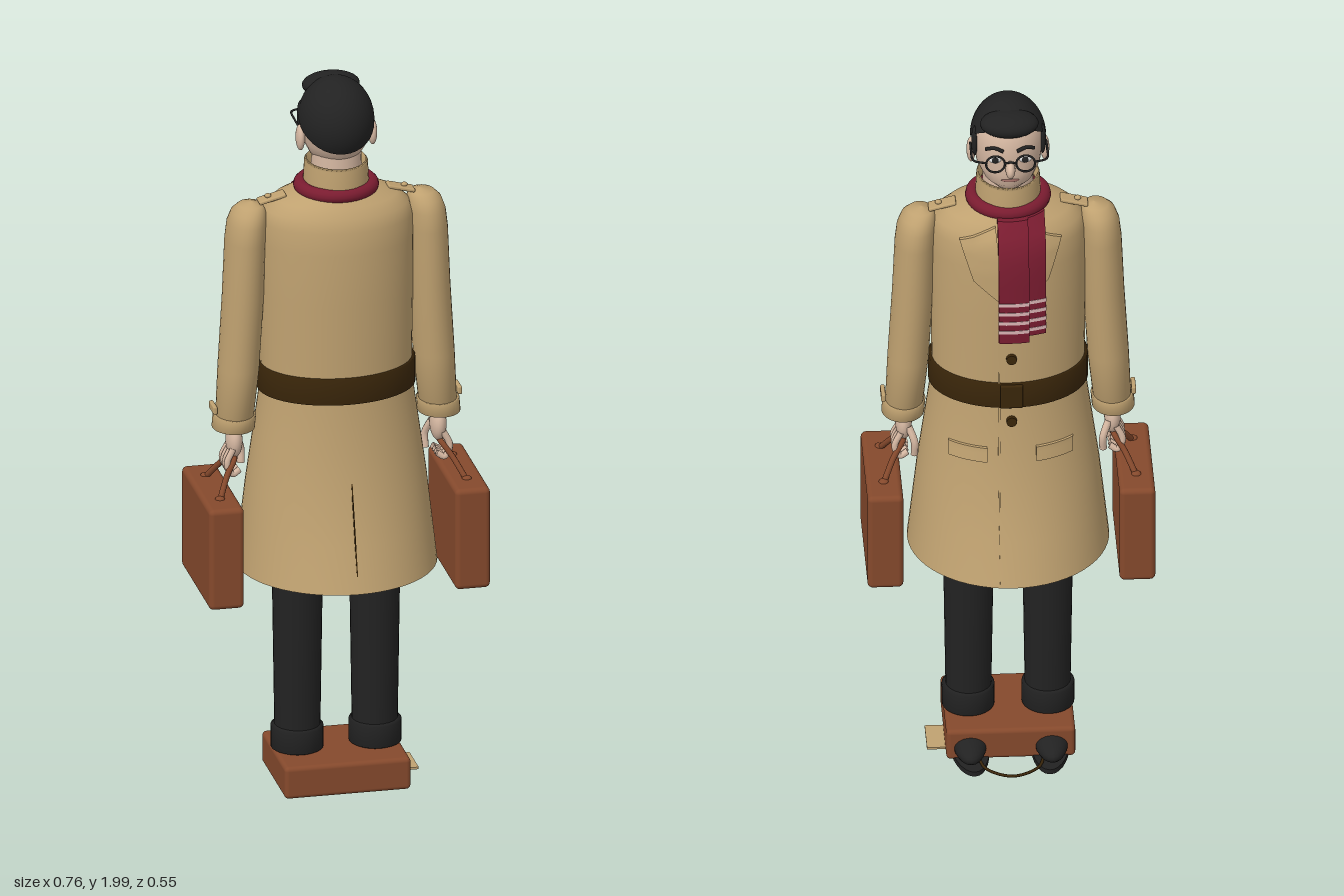
import * as THREE from 'three';
import { RoundedBoxGeometry } from 'three/addons/geometries/RoundedBoxGeometry.js';

const mat = (name, color) => {
  const m = new THREE.MeshStandardMaterial({ color, side: THREE.DoubleSide });
  m.name = name;
  return m;
};

export function createModel() {
  const model = new THREE.Group();
  model.name = 'travellerInCoat';
  const tan = mat('tan cloth', 0xbfa170), brown = mat('brown leather', 0x85492c), black = mat('black', 0x222222);
  const red = mat('dark red wool', 0x7a1c30), belt = mat('dark brown', 0x3a260a), skin = mat('skin', 0xd6b8a2);
  const pale = mat('pale pink', 0xdcb6b6), white = mat('white', 0xeeeeee), lip = mat('lip', 0x9a6a62);

  const add = (name, geo, material, x = 0, y = 0, z = 0, parent = model) => {
    const mesh = new THREE.Mesh(geo, material);
    mesh.name = name;
    mesh.position.set(x, y, z);
    parent.add(mesh);
    return mesh;
  };
  const ball = (name, m, x, y, z, rx, ry, rz) => {
    const b = add(name, new THREE.SphereGeometry(1, 24, 16), m, x, y, z);
    b.scale.set(rx, ry, rz);
    return b;
  };
  const rod = (name, m, pts, r) => add(name, new THREE.TubeGeometry(
    new THREE.CatmullRomCurve3(pts.map(p => new THREE.Vector3(...p))), 24, r, 8), m);

  // Smooth skin through oval rings, rows of [y, centreX, centreZ, radiusX, radiusZ] from bottom to top
  const loft = (rows, n = 40) => {
    const pos = [], idx = [];
    rows.forEach(([y, cx, cz, rx, rz], r) => {
      for (let i = 0; i < n; i++) {
        const a = i / n * Math.PI * 2;
        pos.push(cx + rx * Math.cos(a), y, cz + rz * Math.sin(a));
        if (r === rows.length - 1) continue;
        const p = r * n + i, q = r * n + (i + 1) % n;
        idx.push(p, p + n, q, q, p + n, q + n);
      }
    });
    const g = new THREE.BufferGeometry();
    g.setAttribute('position', new THREE.Float32BufferAttribute(pos, 3));
    g.setIndex(idx);
    g.computeVertexNormals();
    return g;
  };

  // Coat: flared skirt, waist, chest and sloping shoulders
  const coatRows = [
    [0.63, 0, 0, 0.268, 0.273], [0.75, 0, 0, 0.255, 0.233], [0.87, 0, 0, 0.242, 0.2], [1.0, 0, 0, 0.224, 0.176],
    [1.13, 0, 0, 0.206, 0.161], [1.2, 0, 0, 0.203, 0.158], [1.4, 0, 0, 0.206, 0.16], [1.55, 0, 0, 0.207, 0.157],
    [1.61, 0, 0, 0.205, 0.15], [1.645, 0, 0, 0.195, 0.138], [1.67, 0, 0, 0.165, 0.118], [1.69, 0, 0, 0.11, 0.1], [1.7, 0, 0, 0.08, 0.09]];
  add('coat', loft(coatRows, 56), tan);
  add('collar', loft([[1.68, 0, 0, 0.088, 0.1], [1.765, 0, 0, 0.084, 0.098], [1.772, 0, 0, 0.078, 0.092], [1.74, 0, 0, 0.072, 0.085]]), tan);
  add('belt', loft([[1.13, 0, 0, 0.2, 0.155], [1.13, 0, 0, 0.212, 0.167], [1.203, 0, 0, 0.212, 0.167], [1.203, 0, 0, 0.2, 0.155]], 56), belt);

  // Thin panel that follows the coat; corners run lower-x bottom, higher-x bottom, higher-x top, lower-x top
  const depthAt = (x, y) => {
    let i = 0;
    while (i < coatRows.length - 2 && y > coatRows[i + 1][0]) i++;
    const a = coatRows[i], b = coatRows[i + 1], t = (y - a[0]) / (b[0] - a[0]);
    const rx = a[3] + (b[3] - a[3]) * t, rz = a[4] + (b[4] - a[4]) * t;
    return rz * Math.sqrt(Math.max(0, 1 - (x / rx) ** 2));
  };
  const panel = (name, m, c, offset, thick, side = 1) => {
    if (side < 0) c = [c[1], c[0], c[3], c[2]].map(([x, y]) => [-x, y]);
    const g = new THREE.BoxGeometry(1, 1, 1, 8, 10, 1), p = g.attributes.position;
    for (let i = 0; i < p.count; i++) {
      const u = p.getX(i) + 0.5, v = p.getY(i) + 0.5;
      const at = k => (c[0][k] * (1 - u) + c[1][k] * u) * (1 - v) + (c[3][k] * (1 - u) + c[2][k] * u) * v;
      const x = at(0), y = at(1);
      p.setXYZ(i, x, y, -depthAt(x, y) - offset + thick * (p.getZ(i) + 0.5));
    }
    g.computeVertexNormals();
    return add(name, g, m);
  };
  const rect = (x0, x1, y0, y1) => [[x0, y0], [x1, y0], [x1, y1], [x0, y1]];

  for (const s of [-1, 1]) {
    panel('lapel', tan, [[0.02, 1.45], [0.1, 1.52], [0.135, 1.63], [0.04, 1.67]], 0.01, 0.012, s);
    panel('pocketFlap', tan, rect(0.065, 0.165, 0.97, 1.01), 0.009, 0.01, s);
  }
  panel('coatFrontEdge', tan, rect(0.03, 0.036, 0.64, 1.5), 0.003, 0.004);
  for (const y of [1.38, 1.28, 1.09]) {
    add('button', new THREE.CylinderGeometry(0.014, 0.014, 0.012, 16), belt, 0, y, -depthAt(0, y) - 0.005).rotation.x = Math.PI / 2;
  }
  add('beltBuckle', new RoundedBoxGeometry(0.06, 0.07, 0.012, 2, 0.004), belt, 0, 1.167, -0.169);
  add('backVent', new THREE.BoxGeometry(0.003, 0.4, 0.004), belt, 0, 0.83, 0.213).rotation.x = -0.27;

  // Scarf: loop and two striped tails
  const loop = add('scarfLoop', new THREE.TorusGeometry(0.095, 0.019, 12, 40), red, 0, 1.697, 0);
  loop.rotation.x = Math.PI / 2;
  panel('scarfUnderTail', red, rect(-0.092, -0.035, 1.36, 1.69), 0.02, 0.018);
  panel('scarfOverTail', red, rect(-0.046, 0.035, 1.345, 1.69), 0.029, 0.026);
  for (let i = 0; i < 4; i++) {
    const y = 1.375 + i * 0.028;
    panel('scarfStripe', pale, rect(-0.0925, -0.04, y, y + 0.01), 0.0212, 0.009);
    panel('scarfStripe', pale, rect(-0.0465, 0.0355, y, y + 0.01), 0.0302, 0.009);
  }

  for (const s of [-1, 1]) {
    // Sleeve, cuff and shoulder tab
    const side = rows => loft(rows.map(([y, x, ...r]) => [y, s * x, ...r]), 28);
    add('sleeve', side([
      [1.05, 0.277, 0, 0, 0], [1.04, 0.277, 0, 0.05, 0.06], [1.2, 0.265, 0, 0.055, 0.067], [1.4, 0.253, 0, 0.055, 0.071],
      [1.56, 0.247, 0, 0.054, 0.075], [1.61, 0.243, 0, 0.052, 0.071], [1.64, 0.238, 0, 0.046, 0.058],
      [1.658, 0.233, 0, 0.033, 0.038], [1.666, 0.228, 0, 0, 0]]), tan);
    add('cuff', side([[1.03, 0.279, 0, 0.045, 0.055], [1.03, 0.279, 0, 0.057, 0.067], [1.066, 0.276, 0, 0.057, 0.068], [1.066, 0.276, 0, 0.05, 0.06]]), tan);
    add('cuffStrap', new RoundedBoxGeometry(0.012, 0.022, 0.055, 2, 0.004), tan, s * 0.332, 1.085, -0.005);
    add('shoulderTab', new RoundedBoxGeometry(0.075, 0.01, 0.04, 2, 0.004), tan, s * 0.175, 1.672, 0).rotation.z = -s * 0.25;
    ball('tabButton', tan, s * 0.185, 1.678, 0, 0.009, 0.006, 0.009);

    // Hand with fingers curled about the handle
    ball('palm', skin, s * 0.277, 0.99, 0, 0.022, 0.048, 0.036);
    for (let i = 0; i < 4; i++) {
      const z = -0.028 + i * 0.018;
      rod('finger', skin, [[s * 0.285, 0.975, z], [s * 0.302, 0.935, z * 1.15], [s * 0.288, 0.905, z * 1.15], [s * 0.268, 0.915, z]], 0.009);
    }
    rod('thumb', skin, [[s * 0.265, 0.99, -0.025], [s * 0.25, 0.95, -0.04], [s * 0.25, 0.91, -0.035]], 0.01);

    // Carried suitcase
    add('suitcase', new RoundedBoxGeometry(0.095, 0.285, 0.342, 4, 0.014), brown, s * 0.334, 0.718, 0);
    rod('suitcaseHandle', brown, [[s * 0.335, 0.855, -0.088], [s * 0.305, 0.91, -0.045], [s * 0.28, 0.945, -0.02],
      [s * 0.28, 0.945, 0.02], [s * 0.305, 0.91, 0.045], [s * 0.335, 0.855, 0.088]], 0.008);
    for (const z of [-0.088, 0.088]) ball('handleMount', brown, s * 0.335, 0.86, z, 0.013, 0.008, 0.013);

    // Trouser leg, turn-up and shoe
    add('trouserLeg', loft([[0.1, s * 0.105, 0, 0.06, 0.062], [0.63, s * 0.105, 0, 0.068, 0.068], [1.0, s * 0.1, 0, 0.075, 0.075]], 28), black);
    add('turnUp', loft([[0.105, s * 0.106, 0, 0.055, 0.06], [0.105, s * 0.106, 0, 0.07, 0.073], [0.165, s * 0.106, 0, 0.07, 0.073], [0.17, s * 0.106, 0, 0.06, 0.062]], 28), black);
    ball('shoe', black, s * 0.108, 0.045, -0.09, 0.047, 0.036, 0.118);
    const sole = add('sole', new THREE.CylinderGeometry(1, 1, 0.014, 28), black, s * 0.108, 0.011, -0.065);
    sole.scale.set(0.052, 1, 0.148);
    sole.rotation.y = s * 0.06;

    // Ear, eye, brow and spectacles
    ball('ear', skin, s * 0.098, 1.838, 0.004, 0.012, 0.036, 0.023);
    ball('eye', white, s * 0.04, 1.868, -0.098, 0.017, 0.011, 0.008);
    ball('pupil', black, s * 0.04, 1.868, -0.104, 0.009, 0.009, 0.004);
    rod('eyebrow', black, [[s * 0.018, 1.897, -0.107], [s * 0.04, 1.905, -0.102], [s * 0.064, 1.895, -0.088]], 0.005);
    add('spectacleRim', new THREE.TorusGeometry(0.025, 0.003, 8, 28), black, s * 0.04, 1.866, -0.119);
    rod('spectacleArm', black, [[s * 0.064, 1.87, -0.119], [s * 0.096, 1.87, -0.105], [s * 0.101, 1.868, -0.05], [s * 0.1, 1.865, 0.005]], 0.003);
    ball('sideburn', black, s * 0.09, 1.885, -0.028, 0.009, 0.045, 0.018);
  }
  rod('spectacleBridge', black, [[-0.016, 1.868, -0.12], [0, 1.874, -0.125], [0.016, 1.868, -0.12]], 0.003);

  // Head, neck and face
  add('neck', new THREE.CylinderGeometry(0.065, 0.07, 0.15, 28), skin, 0, 1.745, 0.005);
  add('head', loft([
    [1.758, 0, -0.03, 0, 0], [1.762, 0, -0.03, 0.04, 0.05], [1.785, 0, -0.018, 0.067, 0.084], [1.82, 0, -0.008, 0.085, 0.097],
    [1.87, 0, 0, 0.093, 0.105], [1.92, 0, 0, 0.092, 0.105], [1.96, 0, 0, 0.07, 0.08], [1.985, 0, 0, 0, 0]], 32), skin);
  ball('nose', skin, 0, 1.843, -0.112, 0.013, 0.024, 0.027);
  ball('mouth', lip, 0, 1.803, -0.099, 0.024, 0.006, 0.007);

  // Hair: tilted cap with a quiff over the forehead
  const cap = new THREE.SphereGeometry(1, 36, 24, 0, Math.PI * 2, 0, 1.55);
  cap.rotateX(0.62);
  add('hair', cap, black, 0, 1.882, 0).scale.set(0.101, 0.117, 0.117);
  ball('quiff', black, 0, 1.957, -0.062, 0.078, 0.033, 0.054);

  // Suitcase underfoot with flat-lying handle and luggage tag
  add('baseSuitcase', new RoundedBoxGeometry(0.342, 0.09, 0.285, 4, 0.012), brown, 0, 0.055, 0.004);
  rod('baseHandle', belt, [[-0.09, 0.03, -0.135], [-0.07, 0.02, -0.2], [0, 0.018, -0.238], [0.07, 0.02, -0.2], [0.09, 0.03, -0.135]], 0.004);
  add('luggageTag', new THREE.BoxGeometry(0.06, 0.006, 0.11), tan, 0.19, 0.018, -0.035);
  return model;
}
